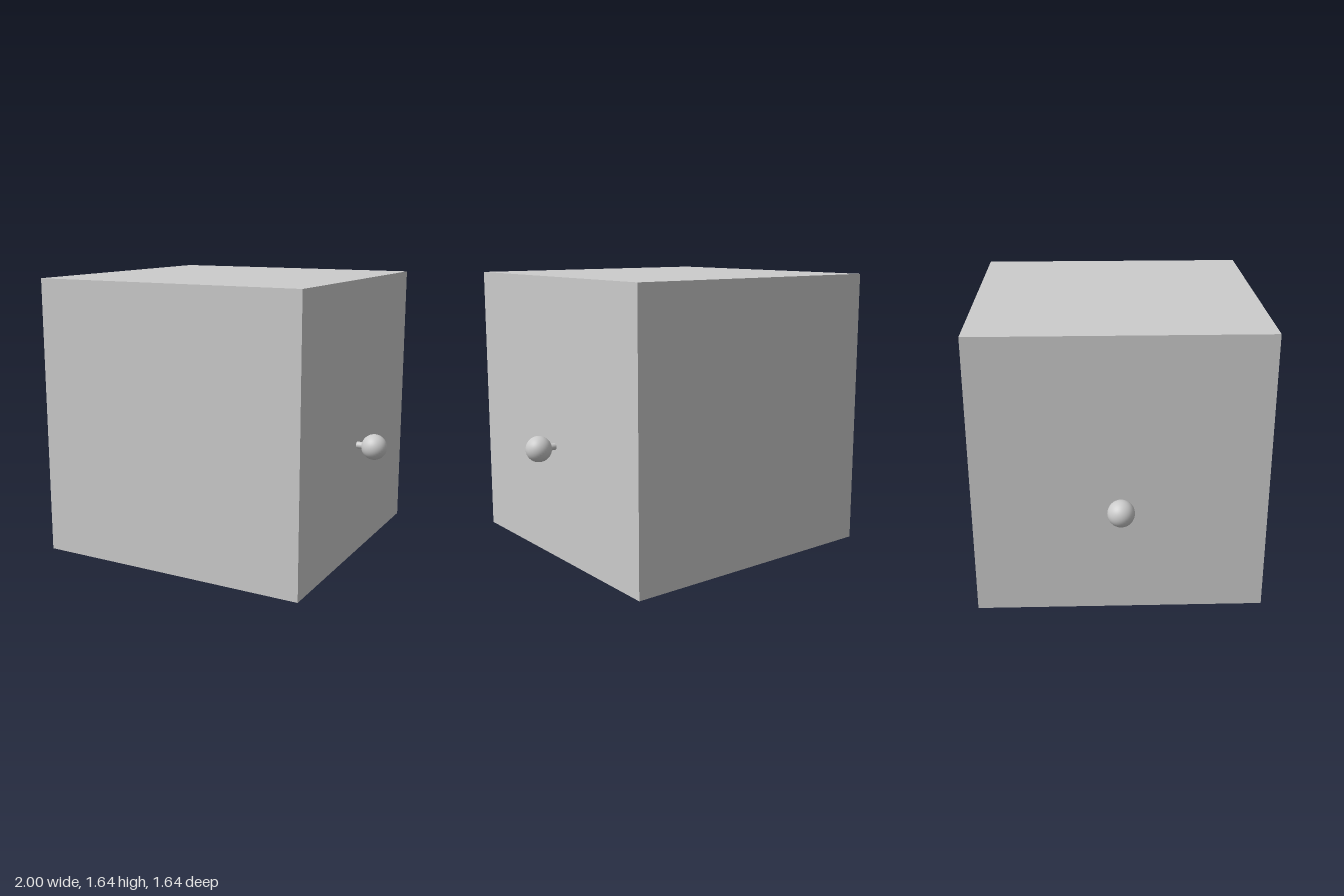
import * as THREE from 'three';

const SIDE = 1.64;        // edge of the cube
const KNOB_Y = 0.67;      // height of the side knobs
const KNOB_R = 0.075;
const STEM_R = 0.02;

export function createModel() {
  const model = new THREE.Group();
  model.name = 'boxWithSideKnobs';
  const material = new THREE.MeshStandardMaterial({ color: 0xcccccc });

  const add = (parent, name, geometry, x, y) => {
    const mesh = new THREE.Mesh(geometry, material);
    mesh.name = name;
    mesh.position.set(x, y, 0);
    parent.add(mesh);
    return mesh;
  };

  // Cube body standing on the ground
  add(model, 'body', new THREE.BoxGeometry(SIDE, SIDE, SIDE), 0, SIDE / 2);

  // A ball on a short stem on each side
  const knobX = 1 - KNOB_R;
  const stemStart = SIDE / 2 - 0.02;
  const stemLength = knobX - stemStart;
  for (const [side, label] of [[1, 'left'], [-1, 'right']]) {
    const knob = new THREE.Group();
    knob.name = `${label}Knob`;
    model.add(knob);

    const stem = add(knob, `${label}Stem`,
      new THREE.CylinderGeometry(STEM_R, STEM_R, stemLength, 24),
      side * (stemStart + stemLength / 2), KNOB_Y);
    stem.rotation.z = -side * Math.PI / 2;

    add(knob, `${label}Ball`, new THREE.SphereGeometry(KNOB_R, 32, 24), side * knobX, KNOB_Y);
  }

  return model;
}
